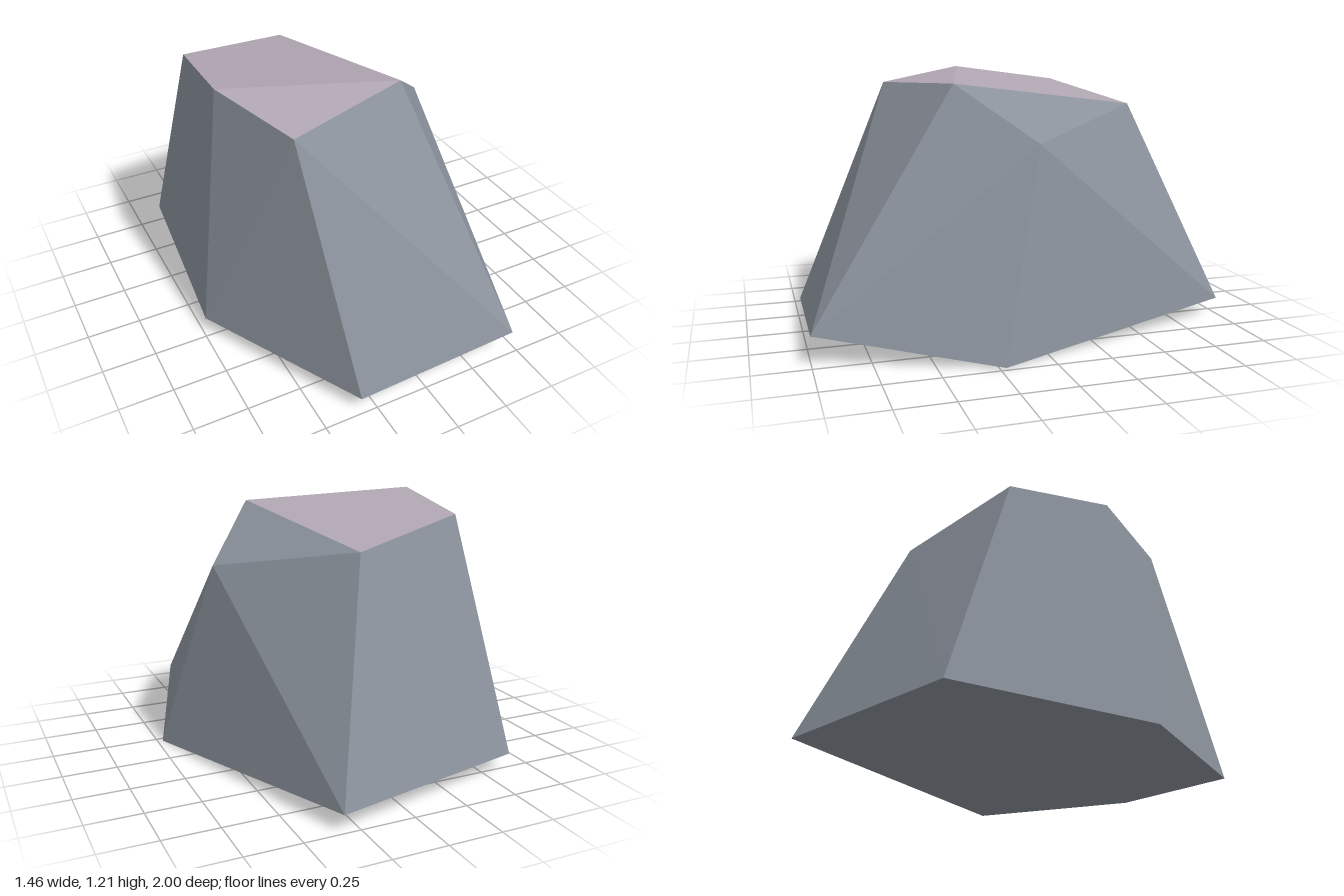
import * as THREE from 'three';

// Lower and upper rings, counter-clockwise from the front left corner
const low = [
  [-0.32, 0.07, 0.985], [0.46, 0.13, 1.0], [0.725, 0.0, 0.22],
  [0.325, 0.08, -1.0], [-0.635, 0.075, -0.77], [-0.73, 0.065, 0.2],
];
const high = [
  [-0.4, 1.14, 0.525], [0.225, 1.16, 0.315], [0.51, 0.91, 0.0],
  [0.065, 1.04, -0.61], [-0.525, 1.14, -0.415], [-0.57, 1.21, 0.105],
];
const corners = [...low, ...high]; // 0-5 low, 6-11 high

// Each triangle gets its own corners, so the facets stay sharp
function facets(name, faces, material) {
  const geometry = new THREE.BufferGeometry();
  const positions = faces.flat().flatMap((i) => corners[i]);
  geometry.setAttribute('position', new THREE.Float32BufferAttribute(positions, 3));
  geometry.computeVertexNormals();
  const mesh = new THREE.Mesh(geometry, material);
  mesh.name = name;
  return mesh;
}

export function createModel() {
  const stone = new THREE.MeshStandardMaterial({ color: 0x8a919b });
  stone.name = 'grey stone';
  const cap = new THREE.MeshStandardMaterial({ color: 0xb0a6b2 });
  cap.name = 'mauve stone';

  // Side walls: a rising diagonal runs from low i+1 to high i, or from low i to high i+1
  const fallingDiagonal = [true, false, true, true, false, false];
  const sides = [];
  for (let i = 0; i < 6; i++) {
    const j = (i + 1) % 6;
    if (fallingDiagonal[i]) sides.push([i, j, i + 6], [j, j + 6, i + 6]);
    else sides.push([i, j, j + 6], [i, j + 6, i + 6]);
  }
  sides.push([7, 8, 9]); // sloping shoulder

  // Underside fans out from the lowest corner
  const base = [[2, 1, 0], [2, 0, 5], [2, 5, 4], [2, 4, 3]];
  const top = [[6, 7, 11], [7, 9, 11], [9, 10, 11]];

  const rock = new THREE.Group();
  rock.name = 'rock';
  rock.add(
    facets('rockSides', sides, stone),
    facets('rockBase', base, stone),
    facets('rockTop', top, cap),
  );
  return rock;
}
